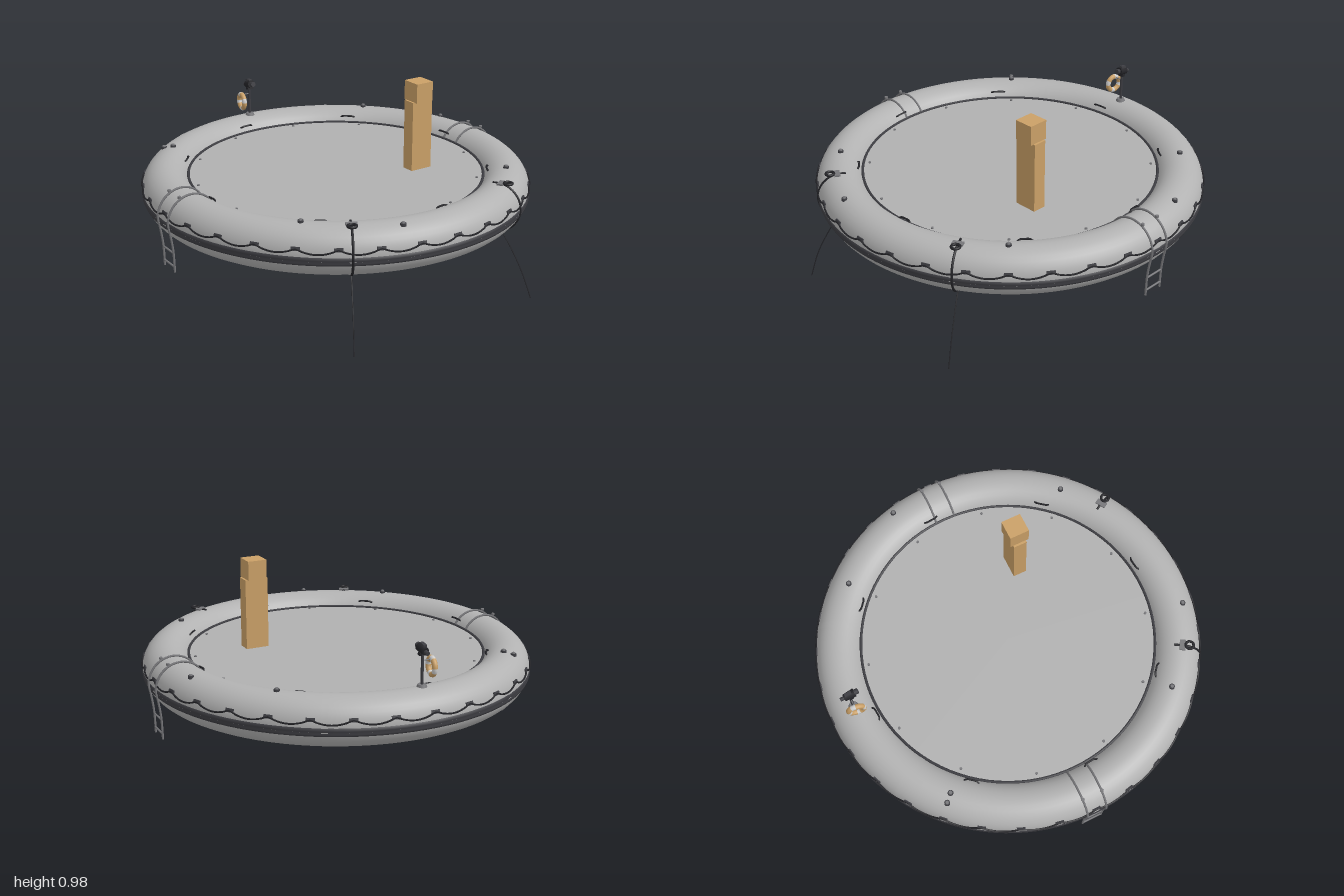
import * as THREE from 'three';

const R = 0.868, r = 0.122, CY = 0.457; // tube ring radius, tube radius, centre height
const mat = (name, color, side = THREE.FrontSide) => {
  const m = new THREE.MeshStandardMaterial({ color, side });
  m.name = name;
  return m;
};

export function createModel() {
  const root = new THREE.Group();
  root.name = 'roundRaft';
  const grey = mat('tube grey', 0xb2b2b2);
  const floorGrey = mat('floor grey', 0xb0b0b0);
  const steel = mat('steel grey', 0x77777a);
  const rubber = mat('dark rubber', 0x3e3e43);
  const black = mat('rope black', 0x242428);
  const tan = mat('tan', 0xcaa067);
  const white = mat('pale grey', 0xcfcfcf);

  const add = (name, geo, m, parent = root, x = 0, y = 0, z = 0) => {
    const mesh = new THREE.Mesh(geo, m);
    mesh.name = name;
    mesh.position.set(x, y, z);
    parent.add(mesh);
    return mesh;
  };
  // group turned so that its local +z points outward at angle a (0 = front, +90 = left)
  const spoke = (name, a) => {
    const g = new THREE.Group();
    g.name = name;
    g.rotation.y = a;
    root.add(g);
    return g;
  };
  const V = (x, y, z) => new THREE.Vector3(x, y, z);
  // point on the tube cross-section, phi 0 = outside, 90 degrees = top
  const section = (phi, off = 0, x = 0) =>
    V(x, CY + (r + off) * Math.sin(phi), R + (r + off) * Math.cos(phi));
  const tube = (pts, rad, seg = 24, closed = false, sides = 6) =>
    new THREE.TubeGeometry(new THREE.CatmullRomCurve3(pts, closed), seg, rad, sides, closed);
  const deg = Math.PI / 180;

  // inflated tube
  add('inflatedTube', new THREE.TorusGeometry(R, r, 32, 120).rotateX(Math.PI / 2), grey, root, 0, CY, 0);
  for (let i = 0; i < 6; i++) {
    const seam = spoke('tubeSeam', (30 + i * 60) * deg);
    const band = new THREE.CylinderGeometry(r + 0.0012, r + 0.0012, 0.03, 32, 1, true).rotateZ(Math.PI / 2);
    add('seamBand', band, grey, seam, 0, CY, R);
  }

  // floor, its edge trim, grommets and the underside
  add('floor', new THREE.CylinderGeometry(0.768, 0.768, 0.015, 96), floorGrey, root, 0, 0.508, 0);
  add('floorTrim', new THREE.TorusGeometry(0.756, 0.007, 6, 96).rotateX(Math.PI / 2), rubber, root, 0, 0.518, 0);
  add('underside', new THREE.CylinderGeometry(0.832, 0.832, 0.008, 96), rubber, root, 0, 0.342, 0);
  for (let i = 0; i < 12; i++)
    add('grommet', new THREE.CylinderGeometry(0.007, 0.007, 0.006, 10), steel, spoke('floorGrommet', (15 + i * 30) * deg), 0, 0.518, 0.725);

  // rubbing strake round the outside
  const strake = [[0.975, 0.417], [0.988, 0.419], [0.992, 0.43], [0.988, 0.437], [0.993, 0.444], [0.992, 0.459], [0.98, 0.463]];
  add('rubbingStrake', new THREE.LatheGeometry(strake.map(p => new THREE.Vector2(...p)), 120), rubber);

  // scalloped grab line with its patches
  const N = 32, line = [];
  for (let i = 0; i < N * 6; i++) {
    const t = (i % 6) / 6, a = i / (N * 6) * Math.PI * 2;
    const p = section(Math.asin((0.495 - 0.02 * Math.sin(t * Math.PI) - CY) / r), 0.004);
    line.push(p.applyAxisAngle(V(0, 1, 0), a));
  }
  add('grabLine', tube(line, 0.0045, N * 12, true, 5), black);
  for (let i = 0; i < N; i++) {
    const p = section(0.33, 0.001);
    const patch = add('grabLinePatch', new THREE.BoxGeometry(0.042, 0.018, 0.009), rubber, spoke('grabPatch', i / N * Math.PI * 2), 0, p.y, p.z);
    patch.rotation.x = -0.33;
  }

  // inner hand loops
  for (let i = 0; i < 8; i++) {
    const g = spoke('handLoop', (5.5 + i * 45) * deg);
    const phi = 136 * deg;
    add('loop', tube([section(phi, -0.002, -0.038), section(phi, 0.009, -0.026), section(phi, 0.011, 0),
      section(phi, 0.009, 0.026), section(phi, -0.002, 0.038)], 0.005, 14), black, g);
  }

  // valves on the tube
  const valves = [[-0.615, -0.615], [-0.65, -0.65], [0.615, -0.615], [0.615, 0.615], [-0.615, 0.615], [0.885, -0.24], [-0.24, 0.885]];
  for (const [x, z] of valves) {
    const d = Math.hypot(x, z), y = CY + Math.sqrt(r * r - (d - R) ** 2);
    add('valveBase', new THREE.CylinderGeometry(0.014, 0.015, 0.014, 12), rubber, root, x, y + 0.002, z);
    add('valveCap', new THREE.CylinderGeometry(0.008, 0.01, 0.008, 12), steel, root, x, y + 0.011, z);
  }

  // boarding ladders on both sides
  for (const s of [1, -1]) {
    const g = spoke('boardingLadder', s * 90 * deg);
    for (const x of [-0.052, 0.052]) {
      const pts = [165, 140, 115, 90, 65, 40, 15, 0].map(p => section(p * deg, 0.007, x));
      pts.push(V(x, 0.4, 0.987), V(x, 0.32, 0.976), V(x, 0.205, 0.972));
      add('ladderRail', tube(pts, 0.0055, 40), steel, g);
      add('railFoot', new THREE.CylinderGeometry(0.009, 0.009, 0.01, 10), steel, g, x, 0.583, 0.93 - 0.0);
    }
    for (const y of [0.235, 0.305])
      add('ladderRung', new THREE.CylinderGeometry(0.005, 0.005, 0.104, 8).rotateZ(Math.PI / 2), steel, g, 0, y, 0.974);
  }

  // anchor lines with top rings
  for (const s of [1, -1]) {
    const g = spoke('anchorLine', s * 30 * deg);
    const strap = [100, 75, 50, 25, 0, -25, -50, -75].map(p => section(p * deg, 0.003));
    add('strap', tube(strap, 0.006, 32), black, g);
    add('line', tube([section(-75 * deg, 0.003), V(0, 0.27, 0.945), V(0, 0.14, 1.015), V(0, 0.002, s > 0 ? 1.07 : 1.06)], 0.003, 20, false, 5), black, g);
    add('ring', new THREE.TorusGeometry(0.02, 0.007, 8, 20).rotateX(Math.PI / 2), black, g, 0, 0.587, 0.925);
    add('ringPlate', new THREE.BoxGeometry(0.055, 0.008, 0.03), steel, g, 0, 0.583, 0.89);
  }

  // standing box figure
  const figure = new THREE.Group();
  figure.name = 'boxFigure';
  root.add(figure);
  add('figureBody', new THREE.BoxGeometry(0.122, 0.365, 0.07), tan, figure, 0.36, 0.6975, 0.217);
  add('figureHead', new THREE.BoxGeometry(0.1, 0.1, 0.102), tan, figure, 0.36, 0.929, 0.217);

  // pole at the back with lamp head and lifebuoy
  const mast = new THREE.Group();
  mast.name = 'lampMast';
  mast.position.z = -0.86;
  root.add(mast);
  add('mastBase', new THREE.CylinderGeometry(0.02, 0.026, 0.014, 16), steel, mast, 0, 0.583, 0);
  add('mastPole', new THREE.CylinderGeometry(0.007, 0.007, 0.16, 12), rubber, mast, 0, 0.66, 0);
  const head = new THREE.Group();
  head.name = 'lampHead';
  head.position.y = 0.757;
  head.rotation.x = -0.2;
  mast.add(head);
  add('lampBody', new THREE.CylinderGeometry(0.022, 0.018, 0.055, 16).rotateX(Math.PI / 2), black, head);
  add('lampFront', new THREE.CylinderGeometry(0.014, 0.014, 0.022, 16).rotateX(Math.PI / 2), rubber, head, 0, 0, 0.036);
  add('lampBack', new THREE.CylinderGeometry(0.01, 0.01, 0.025, 12).rotateX(Math.PI / 2), rubber, head, 0, 0, -0.036);
  add('lampTop', new THREE.BoxGeometry(0.018, 0.012, 0.035), rubber, head, 0, 0.023, 0);
  add('lampYoke', new THREE.BoxGeometry(0.034, 0.014, 0.02), black, head, 0, -0.022, 0);
  add('buoyArm', new THREE.CylinderGeometry(0.003, 0.003, 0.045, 8).rotateZ(Math.PI / 2), steel, mast, -0.022, 0.703, 0);

  const buoy = new THREE.Group();
  buoy.name = 'lifebuoy';
  buoy.position.set(-0.052, 0.667, 0.004);
  buoy.rotation.y = Math.PI / 2 - 0.15;
  mast.add(buoy);
  for (let i = 0; i < 8; i++) { // alternating wide and narrow bands
    const narrow = i % 2, arc = (narrow ? 30 : 60) * deg;
    const part = add(narrow ? 'buoyBand' : 'buoyBody', new THREE.TorusGeometry(0.039, 0.0135, 10, 8, arc), narrow ? white : tan, buoy);
    part.rotation.z = (Math.floor(i / 2) * 90 + narrow * 60) * deg;
  }
  return root;
}
